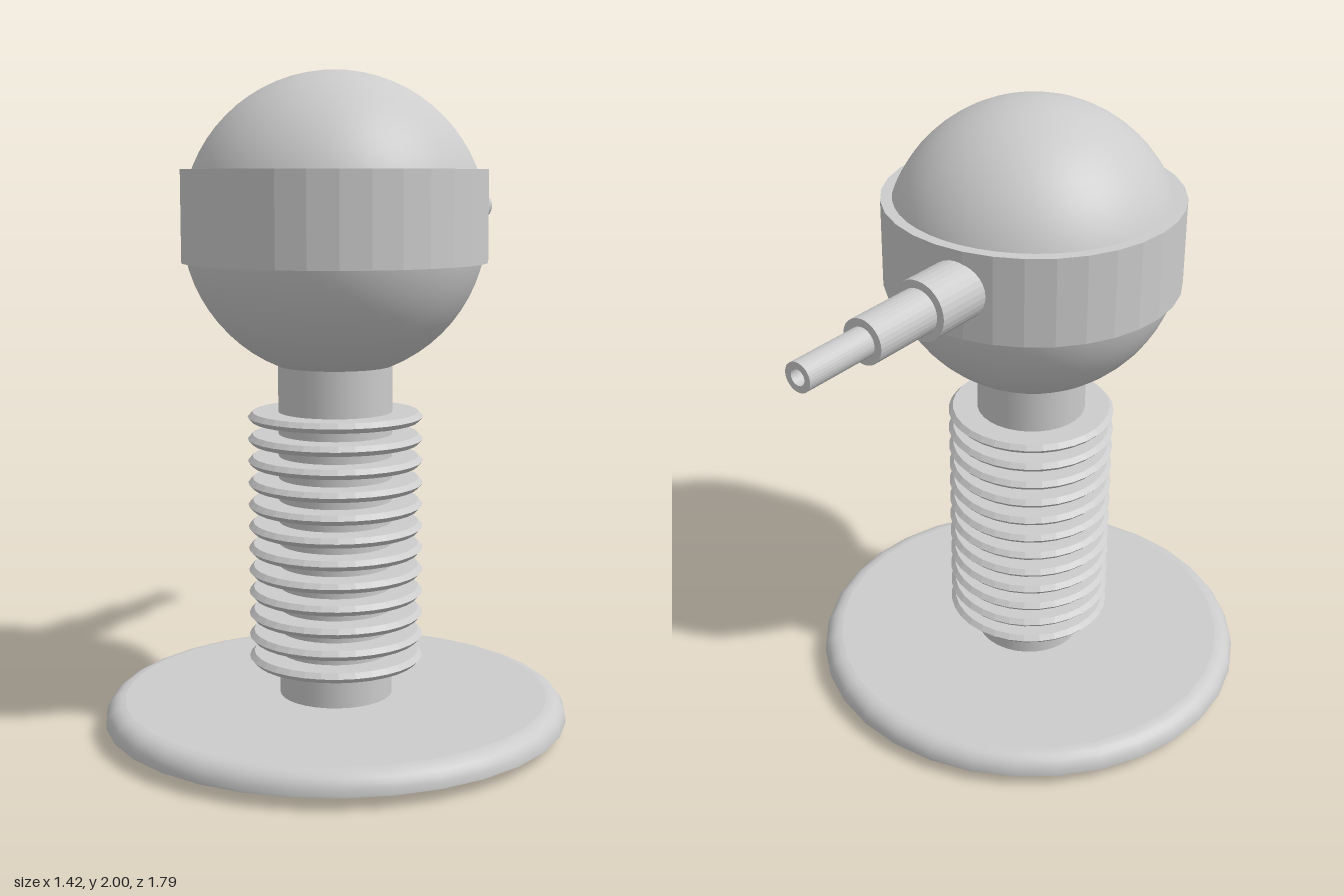
import * as THREE from 'three';

const CENTRE_Z = 0.187;

function material(flat = false) {
  return new THREE.MeshStandardMaterial({ color: 0xcccccc, flatShading: flat, side: THREE.DoubleSide });
}

function add(parent, name, geometry, flat, y = 0) {
  const mesh = new THREE.Mesh(geometry, material(flat));
  mesh.name = name;
  mesh.position.y = y;
  parent.add(mesh);
  return mesh;
}

function lathe(points, segments) {
  return new THREE.LatheGeometry(points.map(([r, y]) => new THREE.Vector2(r, y)), segments);
}

export function createModel() {
  const model = new THREE.Group();
  const body = new THREE.Group();
  body.name = 'body';
  body.position.z = CENTRE_Z;
  model.add(body);

  // Round foot: flat top and rounded rim
  const rim = [];
  for (let i = 0; i <= 6; i++) {
    const a = (i / 6) * Math.PI / 2;
    rim.push([0.65 + 0.06 * Math.cos(a), 0.045 + 0.06 * Math.sin(a)]);
  }
  add(body, 'base', lathe([[0.71, 0.04], ...rim], 32), false);
  add(body, 'baseTop', lathe([[0.65, 0.105], [0, 0.105]], 32), false);
  // Underside with a shallow bulge in the middle
  add(body, 'baseUnderside',
    lathe([[0, 0.003], [0.06, 0.008], [0.12, 0.02], [0.17, 0.037], [0.71, 0.04]], 32), false);

  // Post with its stack of thin fins
  add(body, 'post', new THREE.CylinderGeometry(0.173, 0.173, 1.1, 32), false, 0.61);
  const finProfile = [[0.17, -0.015], [0.252, -0.015], [0.266, 0], [0.252, 0.015], [0.17, 0.015]];
  for (let i = 0; i < 12; i++) {
    add(body, 'fin' + (i + 1), lathe(finProfile, 32), true, 0.224 + i * 0.0677);
  }

  // Ball head and the faceted band around it
  add(body, 'ball', new THREE.SphereGeometry(0.455, 48, 32), false, 1.545);
  const band = [[0.42, 1.435], [0.459, 1.435], [0.459, 1.71], [0.42, 1.71]];
  add(body, 'band', lathe(band, 32), true);

  // Stepped tube at the back, a little to one side, open at the tip
  const nozzle = new THREE.Group();
  nozzle.name = 'nozzle';
  nozzle.position.set(-0.064, 1.583, 0);
  nozzle.rotation.x = -Math.PI / 2;
  model.add(nozzle);
  const steps = [
    ['nozzleCollar', 0.092, 0.06, 0.2, 0.425],
    ['nozzleSleeve', 0.068, 0.04, 0.38, 0.653],
    ['nozzleTip', 0.044, 0.024, 0.6, 0.897],
  ];
  for (const [name, outer, inner, start, end] of steps) {
    add(nozzle, name, lathe([[outer, start], [outer, end], [inner, end], [inner, start]], 32), true);
  }
  return model;
}
